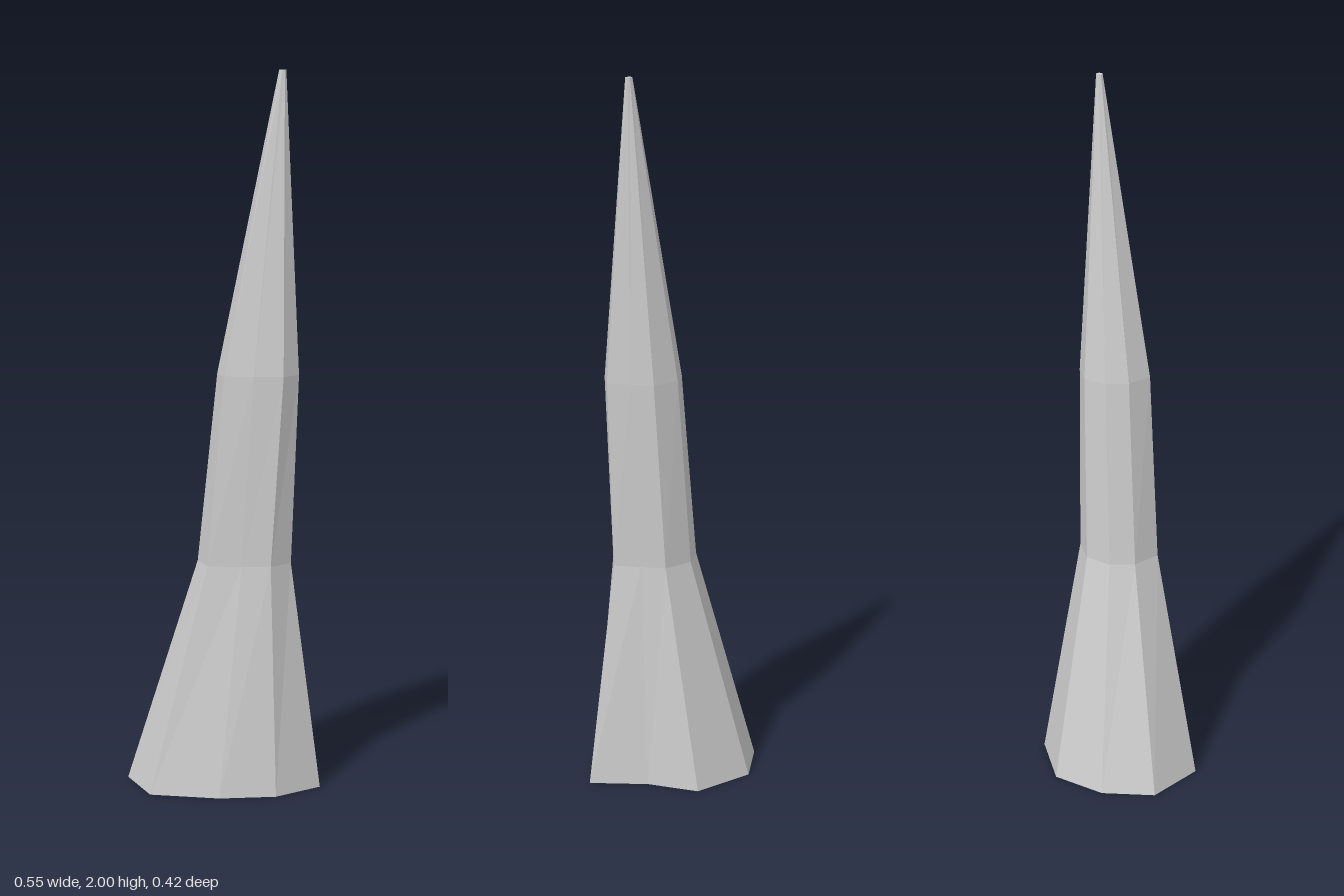
import * as THREE from 'three';

// Cross-sections of the spike, [x, z] corners running from +x towards +z
const tip = Array.from({ length: 9 }, (_, i) => {
  const a = (i / 9) * Math.PI * 2;
  return [0.147 + 0.01 * Math.cos(a), -0.031 + 0.009 * Math.sin(a)];
});
const sections = [
  { y: 0, ring: [[0.272, -0.003], [0.18, 0.122], [0.035, 0.185], [-0.16, 0.211], [-0.275, 0.076],
    [-0.246, -0.073], [-0.144, -0.195], [0.04, -0.213], [0.135, -0.098]] },
  { y: 0.64, ring: [[0.185, 0], [0.147, 0.068], [0.07, 0.092], [-0.023, 0.113], [-0.075, 0.042],
    [-0.068, -0.03], [-0.013, -0.088], [0.076, -0.098], [0.128, -0.052]] },
  { y: 1.17, ring: [[0.205, -0.003], [0.178, 0.055], [0.1, 0.08], [0.02, 0.094], [-0.021, 0.03],
    [-0.016, -0.035], [0.03, -0.088], [0.11, -0.093], [0.157, -0.05]] },
  { y: 2, ring: tip },
];

function loft(levels) {
  const pos = [];
  const rings = levels.map(({ y, ring }) => ring.map(([x, z]) => [x, y, z]));
  const n = rings[0].length;
  const tri = (...corners) => corners.forEach((c) => pos.push(...c));
  const bottom = rings[0], top = rings[rings.length - 1];
  for (let i = 0; i < n; i++) {
    const j = (i + 1) % n;
    // side facets
    for (let k = 0; k < rings.length - 1; k++) {
      const a = rings[k], b = rings[k + 1];
      tri(a[j], a[i], b[i]);
      tri(a[j], b[i], b[j]);
    }
    // end caps
    tri([0, 0, 0], bottom[i], bottom[j]);
    tri([0.147, 2, -0.031], top[j], top[i]);
  }
  const geometry = new THREE.BufferGeometry();
  geometry.setAttribute('position', new THREE.Float32BufferAttribute(pos, 3));
  geometry.computeVertexNormals();
  return geometry;
}

export function createModel() {
  const group = new THREE.Group();
  group.name = 'rockSpike';
  const material = new THREE.MeshStandardMaterial({ color: 0xcccccc, flatShading: true });
  const spike = new THREE.Mesh(loft(sections), material);
  spike.name = 'spike';
  group.add(spike);
  return group;
}
